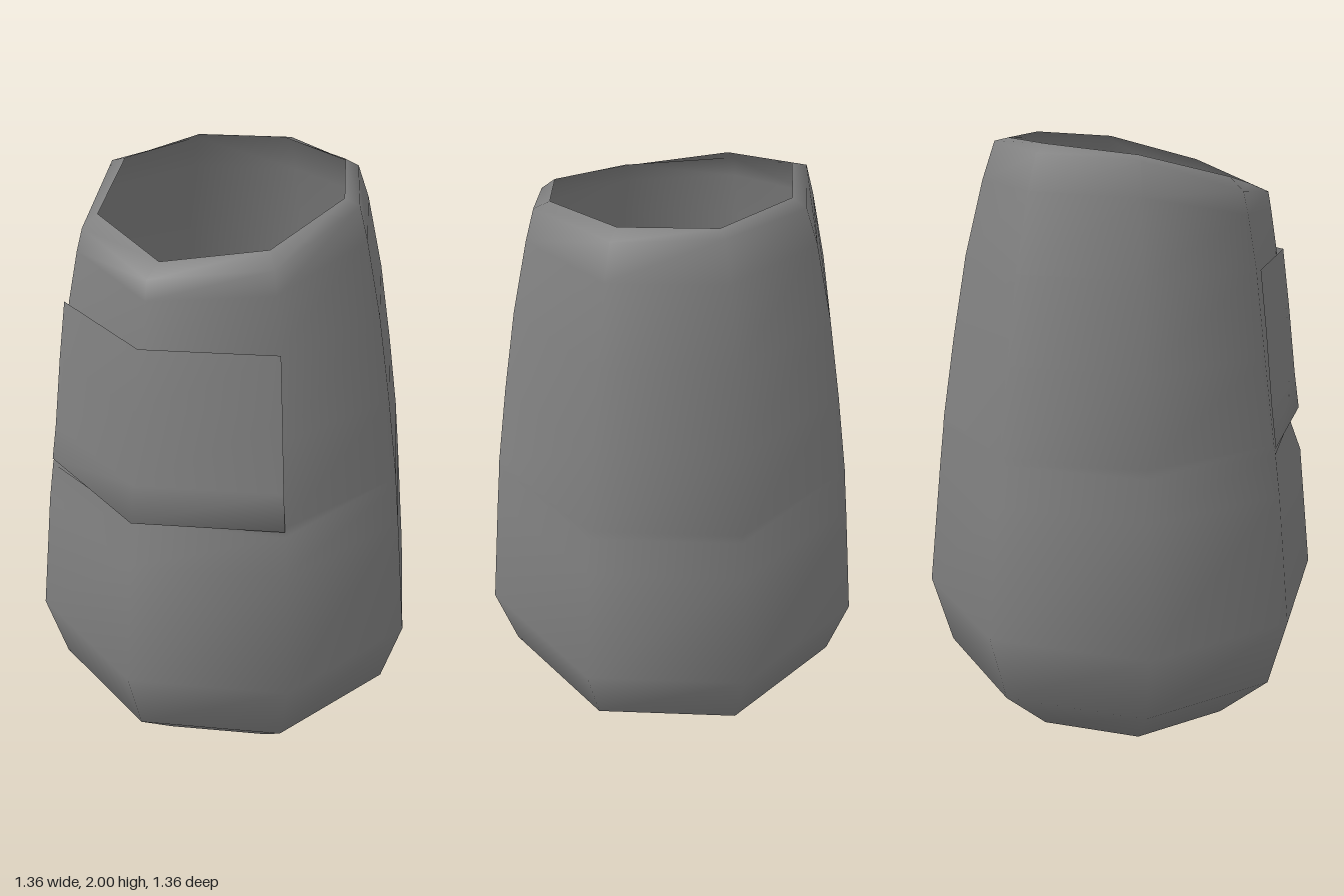
import * as THREE from 'three';

const SIDES = 8;

// Smooth surface through rows of points; closed rows wrap around
function skin(name, rows, closed) {
  const n = rows[0].length, index = [];
  for (let i = 0; i < rows.length - 1; i++) {
    for (let j = 0; j < (closed ? n : n - 1); j++) {
      const a = i * n + j, b = i * n + (j + 1) % n;
      index.push(a, b, b + n, a, b + n, a + n);
    }
  }
  const geometry = new THREE.BufferGeometry();
  geometry.setAttribute('position', new THREE.Float32BufferAttribute(rows.flat(2), 3));
  geometry.setIndex(index);
  geometry.computeVertexNormals();
  const material = new THREE.MeshStandardMaterial({ color: 0x808080, side: THREE.DoubleSide });
  const mesh = new THREE.Mesh(geometry, material);
  mesh.name = name;
  return mesh;
}

// Corner j of the octagon, counted from the front towards +x
function corner(j, r, y) {
  const a = j * Math.PI * 2 / SIDES;
  return [r * Math.sin(a), y, r * Math.cos(a)];
}

// Ring given by [radius, height] from front to back, mirrored across x
function ring(half) {
  return Array.from({ length: SIDES }, (_, j) => corner(j, ...half[Math.min(j, SIDES - j)]));
}

export function createModel() {
  const group = new THREE.Group();
  group.name = 'hollowBody';

  // Shell profile: height, radius, inset of the front corner, inset of its two neighbours;
  // the front is pinched in below the plate and steps out again behind it
  const profile = [
    [0, 0.001, 0, 0], [0, 0.18, 0, 0], [0.07, 0.43, 0, 0], [0.25, 0.615, 0, 0],
    [0.49, 0.68, 0, 0], [0.92, 0.63, 0, 0], [1.055, 0.613, 0.035, 0.004],
    [1.085, 0.61, 0.003, 0.008], [1.36, 0.565, 0.012, 0.008], [1.63, 0.515, 0, 0],
  ];
  const rows = profile.map(([y, r, front, side]) =>
    ring([[r - front, y], [r - side, y], [r, y], [r, y], [r, y]]));

  // Slanted shoulder, outer rim and inner lip of the opening
  rows.push(ring([[0.492, 1.76], [0.48, 1.79], [0.46, 1.86], [0.455, 1.87], [0.452, 1.87]]));
  rows.push(ring([[0.48, 1.82], [0.46, 1.86], [0.43, 1.96], [0.415, 1.975], [0.41, 1.99]]));
  rows.push(ring([[0.41, 1.85], [0.41, 1.9], [0.38, 1.975], [0.37, 2], [0.365, 2]]));
  group.add(skin('shell', rows, true));

  // Front plate folded down its middle, its lower edge turned in to the shell
  const plate = [[1.085, 0.56], [1.075, 0.617], [1.2, 0.597], [1.44, 0.566], [1.63, 0.538]]
    .map(([y, r]) => [-1, 0, 1].map(j => corner(j, r - Math.abs(j) * 0.008, y)));
  group.add(skin('frontPlate', plate, false));

  return group;
}
